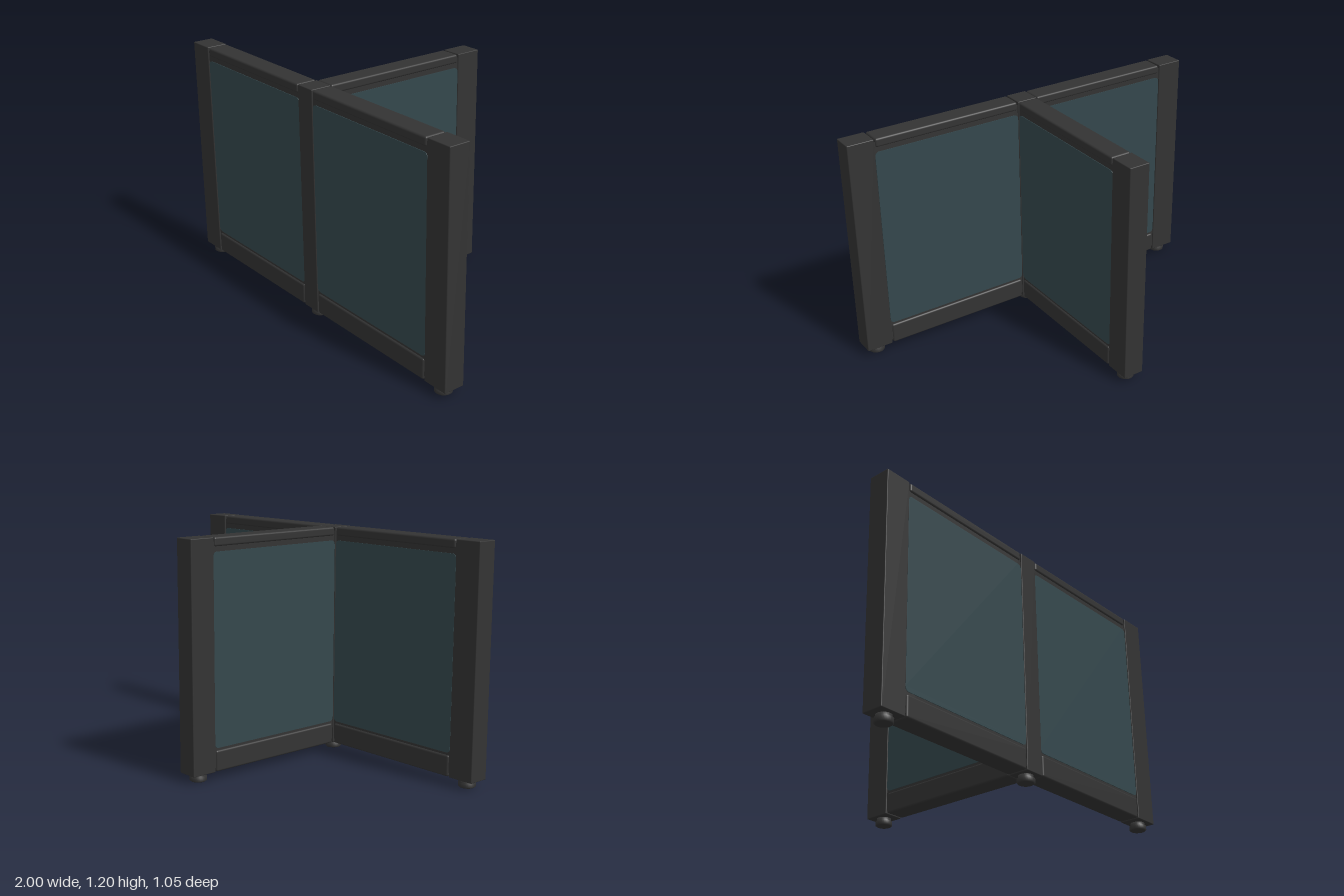
import * as THREE from 'three';
import { RoundedBoxGeometry } from 'three/addons/geometries/RoundedBoxGeometry.js';

const T = 0.11;        // wall thickness
const WALL_Z = 0.47;   // centre line of the long wall

export function createModel() {
  const model = new THREE.Group();
  model.name = 'officePartition';
  const frame = new THREE.MeshStandardMaterial({ color: 0x333333 });
  frame.name = 'charcoal frame';
  const fabric = new THREE.MeshStandardMaterial({ color: 0x34474c });
  fabric.name = 'slate teal fabric';

  const add = (parent, name, geometry, material, x, y, z) => {
    const mesh = new THREE.Mesh(geometry, material);
    mesh.name = name;
    mesh.position.set(x, y, z);
    parent.add(mesh);
    return mesh;
  };
  const block = (parent, name, w, y0, y1, d, r) =>
    add(parent, name, new RoundedBoxGeometry(w, y1 - y0, d, 3, r), frame, 0, (y0 + y1) / 2, 0);

  // Fabric pad outline with rounded corners
  const padGeometry = (w, h, depth) => {
    const r = 0.025, x = w / 2, y = h / 2;
    const s = new THREE.Shape();
    s.moveTo(-x + r, -y);
    s.lineTo(x - r, -y);
    s.quadraticCurveTo(x, -y, x, -y + r);
    s.lineTo(x, y - r);
    s.quadraticCurveTo(x, y, x - r, y);
    s.lineTo(-x + r, y);
    s.quadraticCurveTo(-x, y, -x, y - r);
    s.lineTo(-x, -y + r);
    s.quadraticCurveTo(-x, -y, -x + r, -y);
    return new THREE.ExtrudeGeometry(s, { depth, bevelEnabled: false, curveSegments: 6 })
      .translate(0, 0, -depth / 2);
  };

  // One bay: top and bottom rails, recessed core and fabric on both faces
  const bay = (name, length, x, z, turn) => {
    const g = new THREE.Group();
    g.name = name;
    block(g, 'topRail', length - 0.01, 1.155, 1.2, T, 0.01);
    block(g, 'bottomRail', length - 0.01, 0.04, 0.148, T, 0.01);
    add(g, 'innerFrame', new THREE.BoxGeometry(length + 0.01, 1.12, T - 0.014), frame, 0, 0.62, 0);
    add(g, 'fabricPanel', padGeometry(length, 0.97, T - 0.008), fabric, 0, 0.645, 0);
    g.position.set(x, 0, z);
    g.rotation.y = turn;
    model.add(g);
  };
  for (const side of [-1, 1]) bay(side < 0 ? 'rightBay' : 'leftBay', 0.803, side * 0.4565, WALL_Z, 0);
  bay('rearBay', 0.803, 0, 0.0135, Math.PI / 2);

  // Levelling foot: wide pad under a narrower collar
  const footGeometry = new THREE.LatheGeometry([
    [0, 0], [0.037, 0], [0.043, 0.005], [0.043, 0.024], [0.036, 0.027], [0.036, 0.045], [0, 0.045],
  ].map(([r, y]) => new THREE.Vector2(r, y)), 28);

  // Posts, each standing on a foot
  const posts = [
    ['rightPost', -0.93, WALL_Z, 0.14, T],
    ['leftPost', 0.93, WALL_Z, 0.14, T],
    ['centrePost', 0, WALL_Z, T, T],
    ['rearPost', 0, -0.457, T, 0.136],
  ];
  for (const [name, x, z, w, d] of posts) {
    const g = new THREE.Group();
    g.name = name;
    block(g, 'post', w, 0.04, 1.2, d, 0.004);
    const foot = add(g, 'foot', footGeometry, frame, 0, 0, 0);
    // the lathe normals are softened, so shade the foot by facet bands
    foot.geometry = footGeometry;
    g.position.set(x, 0, z);
    model.add(g);
  }
  return model;
}
